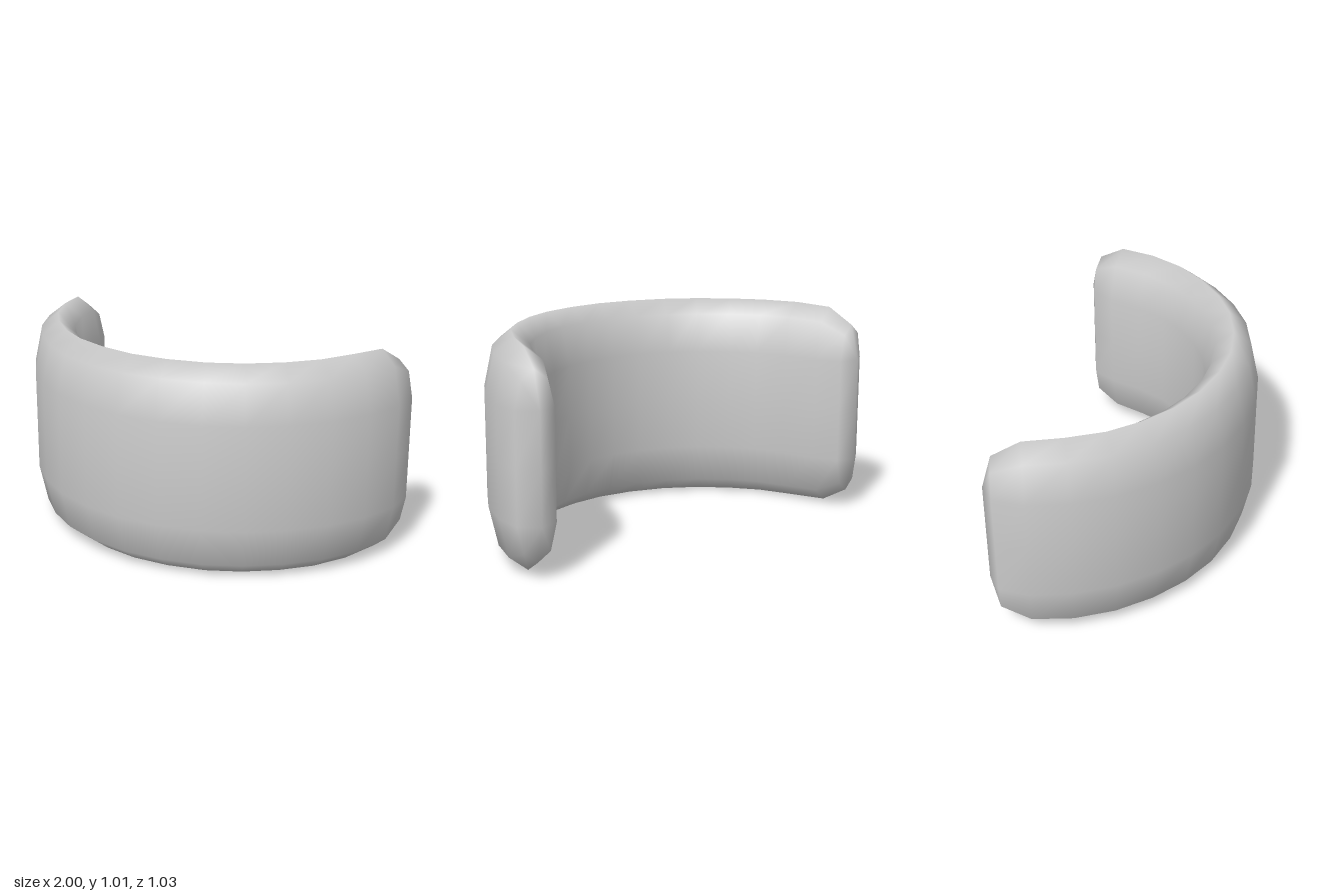
import * as THREE from 'three';
import { mergeVertices } from 'three/addons/utils/BufferGeometryUtils.js';

// Half of the plan, centre to end: outer x, z, inner x, z, half height
const HALF = [
  [0, 0.513, 0, 0.26, 0.5035],
  [0.2, 0.49, 0.15, 0.245, 0.5035],
  [0.4, 0.43, 0.3, 0.2, 0.5035],
  [0.57, 0.335, 0.43, 0.13, 0.5035],
  [0.72, 0.21, 0.55, 0.03, 0.5035],
  [0.85, 0.055, 0.64, -0.075, 0.5035],
  [0.945, -0.12, 0.71, -0.22, 0.5035],
  [1, -0.305, 0.765, -0.38, 0.495],
  [0.997, -0.45, 0.825, -0.49, 0.42],
  [0.915, -0.517, 0.915, -0.517, 0.25], // tip closes to an upright line
];

// Rounded section: across (1 outer, -1 inner), side of mid height, rise from flat face to rim
const SECTION = [
  [1, 0, 0], [1, 1, 0], [0.68, 1, 0.73], [0, 1, 1], [-0.68, 1, 0.73], [-1, 1, 0],
  [-1, 0, 0], [-1, -1, 0], [-0.68, -1, 0.73], [0, -1, 1], [0.68, -1, 0.73], [1, -1, 0],
];
const FLAT = 0.25;
const MID_Y = 0.5035;

function cushionGeometry() {
  const mirrored = HALF.slice(1).reverse().map(([ox, oz, ix, iz, h]) => [-ox, oz, -ix, iz, h]);
  const stations = [...mirrored, ...HALF];
  const n = SECTION.length;
  const positions = [];
  const index = [];
  stations.forEach(([ox, oz, ix, iz, h], i) => {
    SECTION.forEach(([across, side, rise], j) => {
      const t = (1 + across) / 2;
      positions.push(
        ix + (ox - ix) * t,
        MID_Y + side * (FLAT + (h - FLAT) * rise),
        iz + (oz - iz) * t,
      );
      if (i === stations.length - 1) return;
      const a = i * n + j;
      const d = i * n + ((j + 1) % n);
      index.push(a, a + n, d + n, a, d + n, d);
    });
  });
  const geometry = new THREE.BufferGeometry();
  geometry.setAttribute('position', new THREE.Float32BufferAttribute(positions, 3));
  geometry.setIndex(index);
  // Weld the closed tips so the shading runs smoothly round the ends
  const welded = mergeVertices(geometry, 1e-4);
  welded.computeVertexNormals();
  return welded;
}

export function createModel() {
  const group = new THREE.Group();
  group.name = 'curvedBackrest';
  const material = new THREE.MeshStandardMaterial({ color: 0xcccccc });
  const cushion = new THREE.Mesh(cushionGeometry(), material);
  cushion.name = 'backrestCushion';
  group.add(cushion);
  return group;
}
